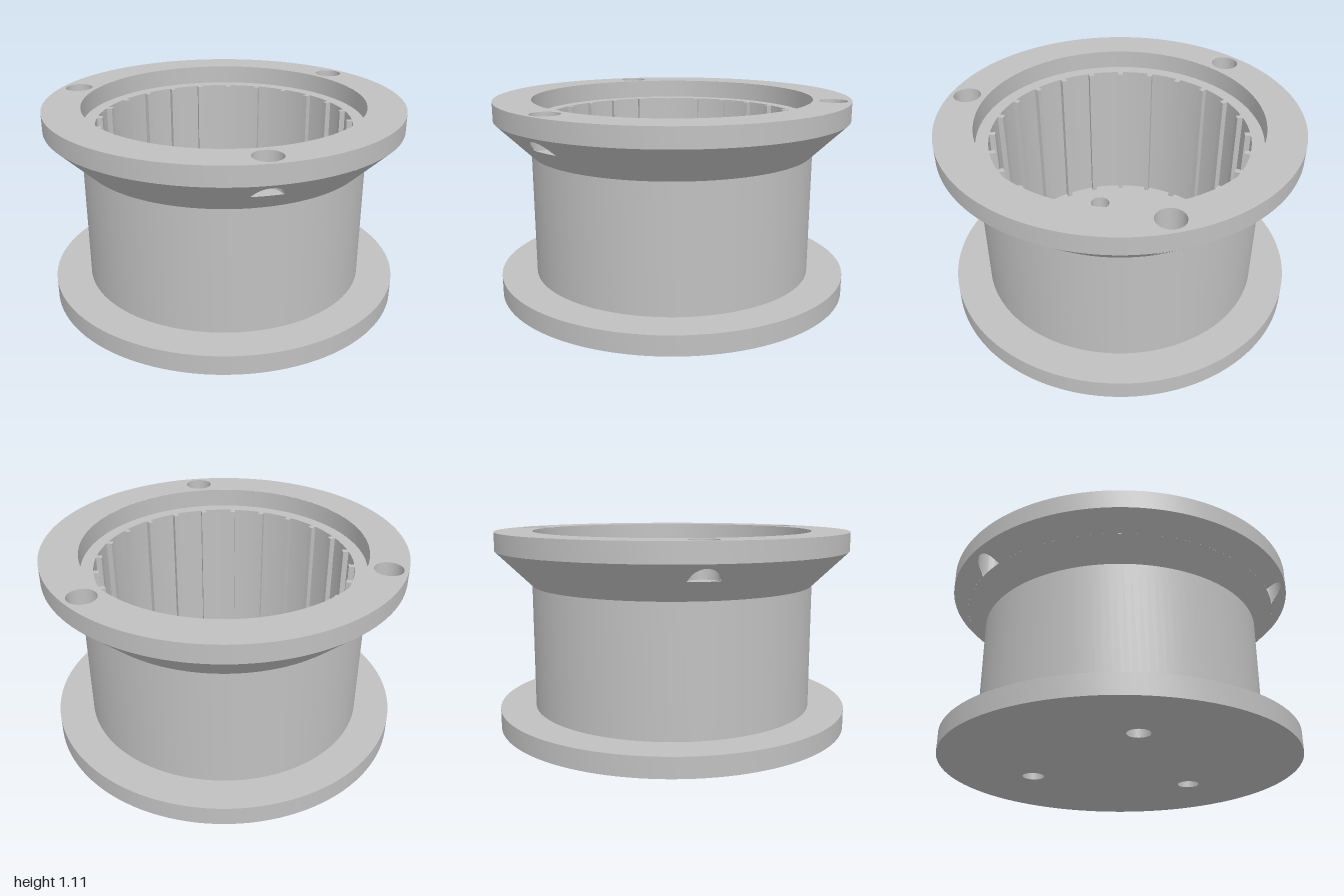
import * as THREE from 'three';
import { toCreasedNormals } from 'three/addons/utils/BufferGeometryUtils.js';

const SEG = 120;
const TOP = 1.107, RIM_Y = 1.003, CONE_Y = 0.807, BASE_Y = 0.11, LEDGE_Y = 1.0;
const BODY_R = 0.8, INNER_R = 0.72, RECESS_R = 0.79;
const POCKET_R = 0.077, POCKET_AT = 0.9, POCKET_Y = 0.914;
const POCKET_ANGLES = [Math.PI, Math.PI / 3, -Math.PI / 3];

// The flare widens from the body to the rim
const flareY = (r) => CONE_Y + ((r - BODY_R) / (1 - BODY_R)) * (RIM_Y - CONE_Y);
const flareR = (y) => BODY_R + ((y - CONE_Y) / (RIM_Y - CONE_Y)) * (1 - BODY_R);
const CUT_R = flareR(POCKET_Y);

export function createModel() {
  const model = new THREE.Group();
  const grey = new THREE.MeshStandardMaterial({ color: 0xc0c0c0 });
  grey.name = 'light grey';

  const add = (name, geometry, parent = model) => {
    const mesh = new THREE.Mesh(toCreasedNormals(geometry, 0.5), grey);
    mesh.name = name;
    parent.add(mesh);
    return mesh;
  };
  const lathe = (points, segments = SEG) =>
    new THREE.LatheGeometry(points.map(([r, y]) => new THREE.Vector2(r, y)), segments);
  const moveVertices = (geometry, rule) => {
    const p = geometry.attributes.position;
    const v = new THREE.Vector3();
    for (let i = 0; i < p.count; i++) {
      rule(v.fromBufferAttribute(p, i));
      p.setXYZ(i, v.x, v.y, v.z);
    }
    return geometry;
  };
  const disc = (radius, holes) => {
    const shape = new THREE.Shape().absarc(0, 0, radius, 0, Math.PI * 2);
    for (const [x, y, r] of holes) {
      shape.holes.push(new THREE.Path().absarc(x, y, r, 0, Math.PI * 2, true));
    }
    return shape;
  };
  const ringOfHoles = (angles, at, r) =>
    angles.map((a) => [at * Math.cos(a), at * Math.sin(a), r]);

  // Bottom flange, also the floor, with three through holes
  const floorAngles = [0, (Math.PI * 2) / 3, (-Math.PI * 2) / 3];
  const base = new THREE.ExtrudeGeometry(disc(1, ringOfHoles(floorAngles, 0.535, 0.063)), {
    depth: BASE_Y, bevelEnabled: false, curveSegments: SEG / 2,
  });
  add('bottomFlange', base.rotateX(-Math.PI / 2));

  // Drum wall and the lower part of the flare
  add('drumWall', lathe([[BODY_R, BASE_Y], [BODY_R, CONE_Y], [CUT_R, POCKET_Y]]));

  // Upper flare, its lower edge raised where the pockets break through
  const flare = lathe([[CUT_R, POCKET_Y], [1, RIM_Y]], 480);
  moveVertices(flare, (v) => {
    if (v.y > POCKET_Y + 0.01) return;
    const angle = Math.atan2(v.z, v.x);
    let r = CUT_R;
    for (const a of POCKET_ANGLES) {
      const reach = POCKET_R ** 2 - (POCKET_AT * Math.sin(angle - a)) ** 2;
      if (reach > 0 && Math.cos(angle - a) > 0) {
        r = Math.max(r, POCKET_AT * Math.cos(angle - a) + Math.sqrt(reach));
      }
    }
    v.set(r * Math.cos(angle), flareY(r), r * Math.sin(angle));
  });
  add('upperFlare', flare);

  // Rim edge and its pierced top face
  add('rimEdge', lathe([[1, RIM_Y], [1, TOP]]));
  const rimHoles = ringOfHoles(POCKET_ANGLES, POCKET_AT, POCKET_R);
  const rimTop = new THREE.ShapeGeometry(disc(1, [[0, 0, RECESS_R], ...rimHoles]), SEG);
  add('rimTop', rimTop.rotateX(-Math.PI / 2).translate(0, TOP, 0));

  // Recess, ledge and bore
  add('bore', lathe([
    [RECESS_R, TOP], [RECESS_R, LEDGE_Y], [INNER_R, LEDGE_Y], [INNER_R, BASE_Y],
  ]));

  // Rim pockets: a wall following the flare and a flat half floor
  for (const a of POCKET_ANGLES) {
    const x = POCKET_AT * Math.cos(a), z = POCKET_AT * Math.sin(a);
    const pocket = new THREE.Group();
    pocket.name = 'rimPocket';
    model.add(pocket);
    const wall = lathe([[POCKET_R, TOP], [POCKET_R, POCKET_Y]], 64).translate(x, 0, z);
    add('pocketWall', moveVertices(wall, (v) => {
      if (v.y < RIM_Y) v.y = Math.max(POCKET_Y, flareY(Math.hypot(v.x, v.z)));
    }), pocket);
    const floor = new THREE.CircleGeometry(POCKET_R, 64)
      .rotateX(-Math.PI / 2).translate(x, POCKET_Y, z);
    add('pocketFloor', moveVertices(floor, (v) => {
      const k = Math.min(1, CUT_R / Math.hypot(v.x, v.z));
      v.x *= k;
      v.z *= k;
    }), pocket);
  }

  // Vertical ribs around the bore
  const ribs = new THREE.Group();
  ribs.name = 'innerRibs';
  model.add(ribs);
  for (let i = 0; i < 24; i++) {
    const rib = new THREE.BoxGeometry(0.036, LEDGE_Y - BASE_Y, 0.03)
      .translate(0.706, (LEDGE_Y + BASE_Y) / 2, 0)
      .rotateY((i * Math.PI) / 12);
    add('rib', rib, ribs);
  }
  return model;
}
